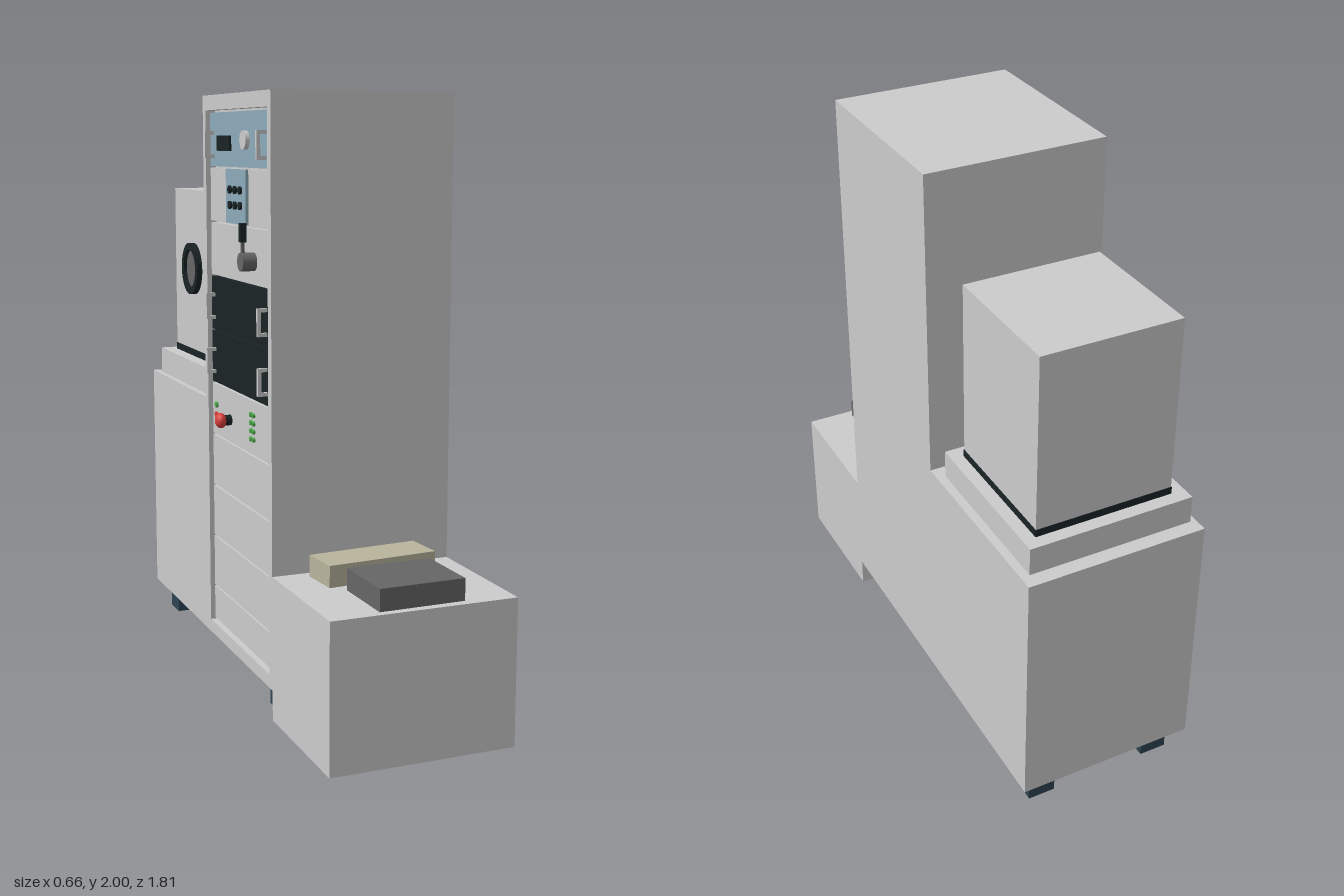
import * as THREE from 'three';

const mat = (color, side = THREE.FrontSide) => new THREE.MeshStandardMaterial({ color, side });
const GREY = mat(0xcccccc), BLUE = mat(0x8cacba), BLACK = mat(0x1a2326), NAVY = mat(0x2e4453);
const RED = mat(0xd8403a), GREEN = mat(0x4fae4a), DARK = mat(0x666666), CREAM = mat(0xb8b49c);

const FACE = -0.29;   // outer face of the rack side
const PANEL = -0.275; // front of the recessed rack panels

export function createModel() {
  const model = new THREE.Group();

  const add = (name, geo, material, x, y, z, parent = model) => {
    const m = new THREE.Mesh(geo, material);
    m.name = name;
    m.position.set(x, y, z);
    parent.add(m);
    return m;
  };
  // Box given by its limits on each axis
  const box = (name, material, x0, x1, y0, y1, z0, z1, parent = model) =>
    add(name, new THREE.BoxGeometry(x1 - x0, y1 - y0, z1 - z0), material,
      (x0 + x1) / 2, (y0 + y1) / 2, (z0 + z1) / 2, parent);
  // Cylinder lying along x, from x0 to x1
  const disc = (name, material, r, x0, x1, y, z, parent = model) =>
    add(name, new THREE.CylinderGeometry(r, r, x1 - x0, 24).rotateZ(Math.PI / 2), material,
      (x0 + x1) / 2, y, z, parent);

  // Cabinet: stepped side profile, with the rack opening cut in the outer layer
  const profile = () => new THREE.Shape([
    [0.905, 0.1], [0.905, 0.955], [0.235, 0.955], [0.235, 2], [-0.43, 2], [-0.43, 0.48],
    [-0.905, 0.48], [-0.905, 0], [-0.43, 0], [-0.43, 0.1],
  ].map(([a, b]) => new THREE.Vector2(a, b)));
  const slab = (name, shape, x0, x1) => add(name,
    new THREE.ExtrudeGeometry(shape, { depth: x1 - x0, bevelEnabled: false }).rotateY(Math.PI / 2),
    GREY, x0, 0, 0);
  const framed = profile();
  framed.holes.push(new THREE.Path([
    [0.205, 0.145], [-0.4, 0.145], [-0.4, 1.95], [0.205, 1.95],
  ].map(([a, b]) => new THREE.Vector2(a, b))));
  slab('cabinetBody', profile(), -0.255, 0.33);
  slab('rackFrame', framed, FACE, -0.255);

  // Feet
  for (const x of [-0.245, 0.19]) for (const z of [-0.855, 0.29])
    box('foot', NAVY, x, x + 0.095, 0, 0.1, z, z + 0.095);

  // Rack panels, top to bottom
  const rack = new THREE.Group();
  rack.name = 'rackPanels';
  model.add(rack);
  const edges = [1.945, 1.76, 1.575, 1.39, 1.2, 1.015, 0.83, 0.645, 0.46, 0.275, 0.15];
  const finish = [BLUE, GREY, GREY, BLACK, BLACK];
  for (let i = 0; i < edges.length - 1; i++)
    box('rackPanel', finish[i] || GREY, PANEL, -0.25, edges[i + 1] + 0.003, edges[i] - 0.003, -0.2, 0.38, rack);

  // Pull handles at both ends of three panels
  for (const y of [1.835, 1.285, 1.095]) for (const z of [-0.165, 0.35]) {
    const handle = new THREE.Group();
    handle.name = 'panelHandle';
    rack.add(handle);
    box('handleGrip', GREY, -0.308, -0.296, y - 0.045, y + 0.045, z - 0.006, z + 0.006, handle);
    for (const s of [-1, 1])
      box('handlePost', GREY, -0.297, PANEL, y + s * 0.039 - 0.006, y + s * 0.039 + 0.006, z - 0.006, z + 0.006, handle);
  }

  // Top panel: display and dial
  box('display', BLACK, -0.283, PANEL, 1.815, 1.865, -0.11, 0.02, rack);
  disc('dial', GREY, 0.03, -0.289, PANEL, 1.85, 0.17, rack);

  // Keypad plate with buttons
  box('keypadPlate', BLUE, -0.285, PANEL, 1.58, 1.757, -0.01, 0.185, rack);
  for (const y of [1.64, 1.69]) for (const z of [0.04, 0.09, 0.14])
    disc('keypadButton', BLACK, 0.013, -0.293, -0.284, y, z, rack);

  // Lever valve
  disc('valveHub', DARK, 0.03, -0.322, PANEL, 1.467, 0.235, rack);
  box('leverArm', DARK, -0.318, -0.308, 1.48, 1.54, 0.23, 0.24, rack);
  box('leverGrip', BLACK, -0.323, -0.303, 1.53, 1.59, 0.225, 0.245, rack);

  // Emergency stop and indicator lamps
  disc('stopCollar', BLACK, 0.018, -0.305, PANEL, 0.91, -0.01, rack);
  const stop = add('stopButton', new THREE.SphereGeometry(0.026, 24, 16), RED, -0.311, 0.91, -0.01, rack);
  stop.scale.x = 0.75;
  for (let i = 0; i < 4; i++) for (const z of [0.205, 0.23])
    disc('greenLamp', GREEN, 0.008, -0.283, PANEL, 0.885 + i * 0.027, z, rack);
  disc('greenLamp', GREEN, 0.01, -0.283, PANEL, 0.94, -0.15, rack);
  disc('redLamp', RED, 0.01, -0.283, PANEL, 0.905, -0.15, rack);

  // Chamber on its plinth
  box('chamberPlinth', GREY, -0.27, 0.3, 0.95, 1.05, -0.855, -0.285);
  box('chamberGasket', BLACK, -0.222, 0.257, 1.05, 1.075, -0.81, -0.333);
  box('chamber', GREY, -0.22, 0.255, 1.075, 1.67, -0.808, -0.335);

  // Round viewing window
  const ring = new THREE.Shape().absarc(0, 0, 0.095, 0, Math.PI * 2);
  ring.holes.push(new THREE.Path().absarc(0, 0, 0.07, 0, Math.PI * 2, true));
  add('windowRing', new THREE.ExtrudeGeometry(ring, { depth: 0.02, bevelEnabled: false, curveSegments: 24 })
    .rotateY(Math.PI / 2), BLACK, -0.24, 1.38, -0.575);
  disc('windowGlass', DARK, 0.071, -0.228, -0.215, 1.38, -0.575);

  // Loose units on the front shelf
  add('darkUnit', new THREE.BoxGeometry(0.285, 0.072, 0.235), DARK, 0.02, 0.515, 0.76).rotation.y = 0.018;
  add('creamUnit', new THREE.BoxGeometry(0.38, 0.072, 0.14), CREAM, 0.018, 0.515, 0.522).rotation.y = 0.08;

  return model;
}
